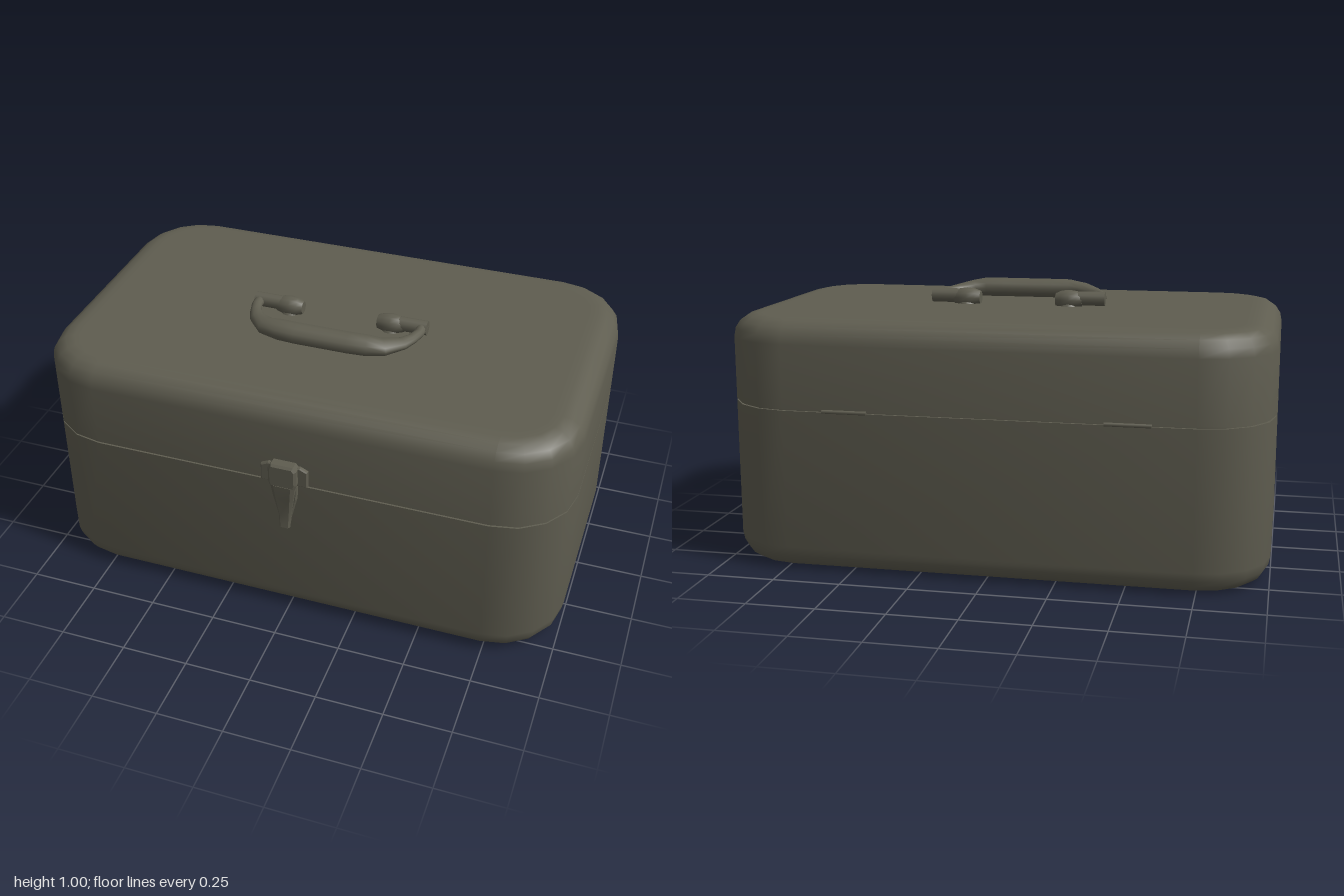
import * as THREE from 'three';
import { toCreasedNormals } from 'three/addons/utils/BufferGeometryUtils.js';

const paint = new THREE.MeshStandardMaterial({ color: 0x5f5d50 });

// Skin a list of rings (each turning right-handed about the direction of travel), with end caps
function loft(rings, crease = 0.6) {
  const n = rings[0].length, pos = [], index = [];
  rings.forEach(r => r.forEach(p => pos.push(p.x, p.y, p.z)));
  for (let i = 0; i < rings.length - 1; i++) {
    for (let j = 0; j < n; j++) {
      const a = i * n + j, b = i * n + (j + 1) % n, c = b + n, d = a + n;
      index.push(a, b, c, a, c, d);
    }
  }
  [0, rings.length - 1].forEach(i => {
    const centre = new THREE.Vector3();
    rings[i].forEach(p => centre.addScaledVector(p, 1 / n));
    const k = pos.length / 3;
    pos.push(centre.x, centre.y, centre.z);
    for (let j = 0; j < n; j++) {
      const a = i * n + j, b = i * n + (j + 1) % n;
      if (i === 0) index.push(k, b, a); else index.push(k, a, b);
    }
  });
  const g = new THREE.BufferGeometry();
  g.setAttribute('position', new THREE.Float32BufferAttribute(pos, 3));
  g.setIndex(index);
  return toCreasedNormals(g, crease);
}

// Rounded-rectangle outline of the box at height y, inset by d
function outline(y, d) {
  const hx = 1, hz = 0.6125, r = 0.26, cz = -0.0175, pts = [];
  [[1, 1], [1, -1], [-1, -1], [-1, 1]].forEach(([sx, sz], k) => {
    for (let i = 0; i <= 4; i++) {
      const t = (k + i / 4) * Math.PI / 2;
      pts.push(new THREE.Vector3(
        sx * (hx - r) + (r - d) * Math.sin(t), y,
        cz + sz * (hz - r) + (r - d) * Math.cos(t)));
    }
  });
  return pts;
}

// Half of the box: flat rim at yRim, rounded over to yEnd
function shell(yRim, yEnd) {
  const R = 0.085, s = Math.sign(yEnd - yRim), rings = [outline(yRim, 0)];
  for (let i = 0; i <= 4; i++) {
    const t = i / 4 * Math.PI / 2;
    rings.push(outline(yEnd - s * R * (1 - Math.sin(t)), R * (1 - Math.cos(t))));
  }
  rings.push(outline(yEnd, R + 0.03));
  if (s < 0) rings.reverse();
  return loft(rings);
}

// Symmetric plate from the right-hand outline [x, y], extruded forward from z with a bevel
function plate(half, z, depth, bevel) {
  const pts = [...half, ...half.map(([x, y]) => [-x, y]).reverse()];
  const shape = new THREE.Shape(pts.map(([x, y]) => new THREE.Vector2(x, y)));
  const g = new THREE.ExtrudeGeometry(shape, {
    depth: depth - bevel, bevelEnabled: bevel > 0, bevelThickness: bevel,
    bevelSize: bevel, bevelOffset: -bevel, bevelSegments: 1,
  });
  return g.translate(0, 0, z);
}

// Carrying handle, swept from one pivot round the grip to the other
function handleGeometry() {
  // x, y, z, half width, half height
  const side = [
    [0.319, 0.953, -0.03, 0.021, 0.02],
    [0.319, 0.953, 0.03, 0.02, 0.016],
    [0.305, 0.953, 0.075, 0.022, 0.018],
    [0.28, 0.955, 0.12, 0.03, 0.021],
    [0.225, 0.96, 0.17, 0.042, 0.03],
    [0.17, 0.963, 0.183, 0.046, 0.037],
    [0.1, 0.963, 0.187, 0.048, 0.037],
  ];
  const path = [...side, ...side.map(([x, ...rest]) => [-x, ...rest]).reverse()];
  const up = new THREE.Vector3(0, 1, 0);
  const at = i => new THREE.Vector3(...path[Math.min(Math.max(i, 0), path.length - 1)].slice(0, 3));
  return loft(path.map(([, , , w, h], i) => {
    const dir = at(i + 1).sub(at(i - 1)).setY(0).normalize();
    const out = dir.clone().cross(up);
    return Array.from({ length: 12 }, (_, j) => {
      const t = j / 12 * Math.PI * 2;
      return at(i).addScaledVector(up, h * Math.cos(t)).addScaledVector(out, w * Math.sin(t));
    });
  }), 0.9);
}

export function createModel() {
  const model = new THREE.Group();
  const add = (name, geometry, parent = model) => {
    const mesh = new THREE.Mesh(geometry, paint);
    mesh.name = name;
    parent.add(mesh);
    return mesh;
  };

  // Box halves with a narrow recessed seam
  add('base', shell(0.597, 0));
  add('lid', shell(0.603, 0.922));
  add('seam', loft([outline(0.59, 0.01), outline(0.61, 0.01)]));

  // Handle with its pivots
  const handle = new THREE.Group();
  handle.name = 'handle';
  model.add(handle);
  add('grip', handleGeometry(), handle);
  const barrel = [[0, -0.052], [0.024, -0.052], [0.034, -0.03], [0.038, 0], [0.034, 0.03], [0.026, 0.052], [0, 0.052]]
    .map(([r, y]) => new THREE.Vector2(r, y));
  for (const s of [-1, 1]) {
    const knuckle = add('pivotBarrel', toCreasedNormals(new THREE.LatheGeometry(barrel, 12), 0.6), handle);
    knuckle.rotation.z = Math.PI / 2;
    knuckle.position.set(s * 0.2, 0.945, -0.018);
    const rod = add('pivotRod', new THREE.CylinderGeometry(0.027, 0.027, 0.11, 12), handle);
    rod.rotation.z = Math.PI / 2;
    rod.position.set(s * 0.284, 0.951, -0.018);
    const foot = add('pivotFoot', new THREE.CylinderGeometry(0.03, 0.042, 0.02, 12), handle);
    foot.position.set(s * 0.2, 0.927, -0.018);
  }

  // Front latch: fixed plate, catch and tapered lever
  const latch = new THREE.Group();
  latch.name = 'latch';
  model.add(latch);
  add('latchPlate', plate([[0.088, 0.605], [0.088, 0.672], [0.06, 0.685]], 0.59, 0.02, 0.004), latch);
  add('latchCatch', plate([[0.046, 0.6], [0.053, 0.62], [0.053, 0.68], [0.042, 0.697]], 0.59, 0.045, 0.008), latch);
  add('latchBackPlate', plate([[0.022, 0.45], [0.045, 0.54], [0.048, 0.6]], 0.59, 0.02, 0.004), latch);
  const lever = [[0.605, 0.046, 0.634, 0.6], [0.55, 0.038, 0.63, 0.6], [0.46, 0.024, 0.617, 0.6], [0.41, 0.02, 0.622, 0.612]];
  add('latchLever', loft(lever.map(([y, w, front, back]) => [
    [-w, back], [w, back], [w, front - 0.008], [w * 0.7, front], [-w * 0.7, front], [-w, front - 0.008],
  ].map(([x, z]) => new THREE.Vector3(x, y, z))), 0.4), latch);

  // Rear hinges
  for (const s of [-1, 1]) {
    const hinge = add('hinge', new THREE.CylinderGeometry(0.007, 0.007, 0.165, 8));
    hinge.rotation.z = Math.PI / 2;
    hinge.position.set(s * 0.507, 0.6, -0.63);
  }
  return model;
}
